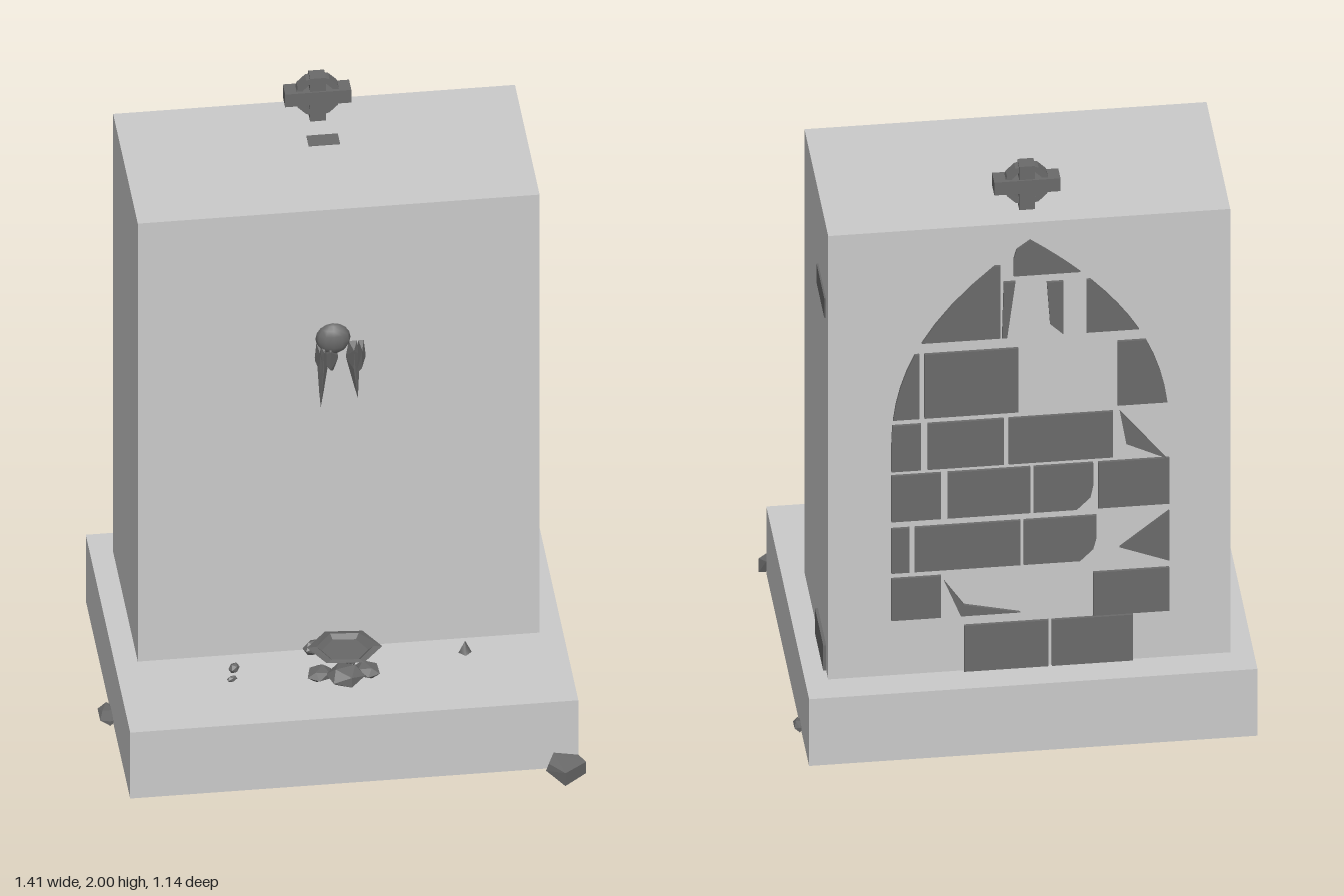
import * as THREE from 'three';
import { ConvexGeometry } from 'three/addons/geometries/ConvexGeometry.js';

const paleStone = new THREE.MeshStandardMaterial({ name: 'paleStone', color: 0xcacaca });
const darkStone = new THREE.MeshStandardMaterial({ name: 'darkStone', color: 0x6a6a6a });

// Half width of the pointed arch at a height
function archHalfWidth(y) {
  const t = THREE.MathUtils.clamp((y - 1.05) / 0.735, 0, 1);
  return 0.42 * (1 - t ** 2.4);
}

// Brick outline trimmed to the arch, with an optional chipped lower corner
function brickOutline(x0, x1, y0, y1, chip = 0) {
  const left = [], right = [], steps = 4;
  for (let i = 0; i <= steps; i++) {
    const y = y0 + ((y1 - y0) * i) / steps;
    const w = archHalfWidth(y);
    const cut = Math.max(0, chip - (y - y0));
    left.push(new THREE.Vector2(THREE.MathUtils.clamp(x0 + cut, -w, w), y));
    right.push(new THREE.Vector2(THREE.MathUtils.clamp(x1, -w, w), y));
  }
  return [...right, ...left.reverse()];
}

// Frustum-like bowl skin from rings of [radius, height, centre z, slope]
function bowlGeometry(rings, sides) {
  const positions = [], indices = [];
  for (const [radius, y, z, slope] of rings) {
    for (let i = 0; i < sides; i++) {
      const a = (i / sides) * Math.PI * 2 + 0.1;
      const dz = radius * Math.sin(a);
      positions.push(radius * Math.cos(a), y + slope * dz, z + dz);
    }
  }
  const last = (rings.length - 1) * sides;
  for (let a = 0; a < last; a++) {
    const b = a % sides === sides - 1 ? a + 1 - sides : a + 1;
    indices.push(a, a + sides, b, b, a + sides, b + sides);
  }
  for (let i = 1; i < sides - 1; i++) {
    indices.push(0, i, i + 1, last, last + i + 1, last + i);
  }
  const indexed = new THREE.BufferGeometry();
  indexed.setAttribute('position', new THREE.Float32BufferAttribute(positions, 3));
  indexed.setIndex(indices);
  const flat = indexed.toNonIndexed();
  flat.computeVertexNormals();
  return flat;
}

export function createModel() {
  const model = new THREE.Group();
  model.name = 'stoneMonument';

  const add = (name, geometry, material = darkStone, parent = model) => {
    const mesh = new THREE.Mesh(geometry, material);
    mesh.name = name;
    parent.add(mesh);
    return mesh;
  };
  const group = (name) => {
    const g = new THREE.Group();
    g.name = name;
    model.add(g);
    return g;
  };
  // Box from its minimum and maximum corners
  const block = (name, a, b, material, parent) => {
    const min = new THREE.Vector3(...a), size = new THREE.Vector3(...b).sub(min);
    const mesh = add(name, new THREE.BoxGeometry(size.x, size.y, size.z), material, parent);
    mesh.position.copy(min).addScaledVector(size, 0.5);
  };
  // Faceted solid around a few corner points
  const chunk = (name, points, parent) =>
    add(name, new ConvexGeometry(points.map((p) => new THREE.Vector3(...p))), darkStone, parent);

  // Main masses
  block('plinth', [-0.675, 0.01, -0.575], [0.68, 0.25, 0.48], paleStone);
  block('body', [-0.605, 0.25, -0.475], [0.61, 1.845, 0.11], paleStone);

  // Exposed bricks on the side and top
  block('upperSideBrick', [0.605, 1.515, -0.42], [0.615, 1.585, -0.23]);
  block('lowerSideBrick', [0.605, 0.25, -0.425], [0.619, 0.34, -0.22]);
  block('topBrick', [-0.045, 1.84, -0.285], [0.05, 1.847, -0.23]);

  // Brick courses of the pointed arch: bottom, top, then [x from, x to, chip]
  const arch = group('archBricks');
  const addBrick = (outline) =>
    add('archBrick', new THREE.ExtrudeGeometry(new THREE.Shape(outline), { depth: 0.01, bevelEnabled: false }), darkStone, arch)
      .position.z = -0.484;
  const courses = [
    [1.66, 1.785, [-0.16, 0.05]],
    [1.44, 1.7, [0.09, 0.42]],
    [1.44, 1.63, [-0.42, -0.17]],
    [1.17, 1.4, [0.335, 0.42], [0.036, 0.32], [-0.42, -0.264]],
    [0.985, 1.15, [0.33, 0.42], [0.08, 0.31], [-0.25, 0.065]],
    [0.805, 0.97, [0.27, 0.42], [0, 0.25], [-0.19, -0.01, 0.05], [-0.42, -0.205]],
    [0.62, 0.78, [0.365, 0.42], [0.03, 0.35], [-0.2, 0.02, 0.05]],
    [0.45, 0.6, [0.27, 0.42]],
    [0.42, 0.575, [-0.42, -0.19]],
    [0.25, 0.415, [-0.055, 0.2], [-0.31, -0.065]],
  ];
  for (const [y0, y1, ...spans] of courses) {
    for (const [x0, x1, chip] of spans) addBrick(brickOutline(x0, x1, y0, y1, chip));
  }
  // Broken pieces between the whole bricks
  const brokenBricks = [
    [[0.08, 1.64], [0.045, 1.64], [0.07, 1.44], [0.085, 1.44]],
    [[-0.05, 1.63], [-0.1, 1.63], [-0.1, 1.44], [-0.06, 1.48]],
    [[-0.27, 1.15], [-0.41, 0.97], [-0.29, 1.03]],
    [[-0.27, 0.66], [-0.42, 0.78], [-0.42, 0.6]],
    [[0.26, 0.58], [0.2, 0.49], [0.03, 0.45], [0.21, 0.45]],
  ];
  for (const outline of brokenBricks) addBrick(outline.map((p) => new THREE.Vector2(...p)));

  // Ringed cross on the top
  const cross = group('cross');
  block('crossUpright', [-0.024, 1.84, -0.405], [0.024, 2, -0.36], darkStone, cross);
  block('crossArms', [-0.1, 1.907, -0.41], [0.1, 1.953, -0.355], darkStone, cross);
  const ringShape = new THREE.Shape().absarc(0, 0, 0.07, 0, Math.PI * 2);
  ringShape.holes.push(new THREE.Path().absarc(0, 0, 0.051, 0, Math.PI * 2));
  add('crossRing', new THREE.ExtrudeGeometry(ringShape, { depth: 0.034, bevelEnabled: false, curveSegments: 6 }), darkStone, cross)
    .position.set(0, 1.93, -0.4);

  // Small carved head with hanging shards on the front
  const ornament = group('wallOrnament');
  const head = add('ornamentHead', new THREE.SphereGeometry(0.053, 12, 8), darkStone, ornament);
  head.position.set(-0.015, 1.378, 0.11);
  head.scale.z = 0.6;
  const shards = [ // top x, tip x, tip y, half width
    [-0.045, -0.052, 1.13, 0.022], [0.045, 0.06, 1.155, 0.024],
    [-0.025, -0.015, 1.26, 0.03], [0.07, 0.055, 1.24, 0.016], [-0.058, -0.04, 1.24, 0.014],
  ];
  for (const [x, tipX, tipY, w] of shards) {
    chunk('ornamentShard', [
      [x - w * 0.6, 1.365, 0.105], [x + w * 0.6, 1.365, 0.105], [x, 1.345, 0.14],
      [x - w, 1.305, 0.105], [x + w, 1.305, 0.105], [x, 1.275, 0.132], [tipX, tipY, 0.112],
    ], ornament);
  }

  // Tilted six-sided bowl leaning back towards the wall
  const bowl = group('fallenBowl');
  add('bowl', bowlGeometry([
    [0.047, 0.308, 0.215, 0.2], [0.083, 0.335, 0.25, 0.25], [0.113, 0.36, 0.27, 0.1],
    [0.086, 0.369, 0.28, 0.05], [0.07, 0.352, 0.275, 0.05],
  ], 6), darkStone, bowl);
  chunk('bowlBackLip', [
    [-0.07, 0.342, 0.19], [0.07, 0.342, 0.19], [-0.055, 0.298, 0.14], [0.055, 0.298, 0.14],
    [-0.045, 0.29, 0.12], [0.045, 0.29, 0.12], [0, 0.31, 0.23],
  ], bowl);

  // Rubble: centre, half sizes and a turn about the upright axis
  const rubble = [
    [0, 0.272, 0.29, 0.055, 0.03, 0.05, 0.3], [-0.075, 0.264, 0.26, 0.042, 0.018, 0.035, 1],
    [0.07, 0.265, 0.26, 0.042, 0.02, 0.035, 2], [0.02, 0.265, 0.18, 0.035, 0.025, 0.035, 0.6],
    [-0.075, 0.27, 0.13, 0.035, 0.025, 0.02, 0.4], [0.065, 0.272, 0.135, 0.035, 0.025, 0.025, 2.4],
    [-0.325, 0.262, 0.197, 0.018, 0.016, 0.013, 0.7], [-0.337, 0.256, 0.245, 0.017, 0.01, 0.008, 0.4],
    [-0.685, 0.015, 0.035, 0.03, 0.014, 0.055, 0], [0.685, 0.018, -0.36, 0.016, 0.014, 0.033, 0],
  ];
  const stones = group('rubble');
  for (const [x, y, z, sx, sy, sz, turn] of rubble) {
    const stone = add('rubbleStone', new THREE.IcosahedronGeometry(1.1, 0), darkStone, stones);
    stone.position.set(x, y, z);
    stone.scale.set(sx, sy, sz);
    stone.rotation.y = turn;
  }
  add('pointedStone', new THREE.ConeGeometry(0.02, 0.042, 4).toNonIndexed(), darkStone, stones)
    .position.set(0.375, 0.271, 0.185);
  chunk('cornerStone', [
    [0.577, 0.03, 0.52], [0.62, 0.015, 0.475], [0.7, 0, 0.505], [0.63, 0, 0.565],
    [0.585, 0.058, 0.525], [0.605, 0.066, 0.48], [0.68, 0.052, 0.48], [0.7, 0.045, 0.51], [0.63, 0.05, 0.57],
  ], stones);

  return model;
}
